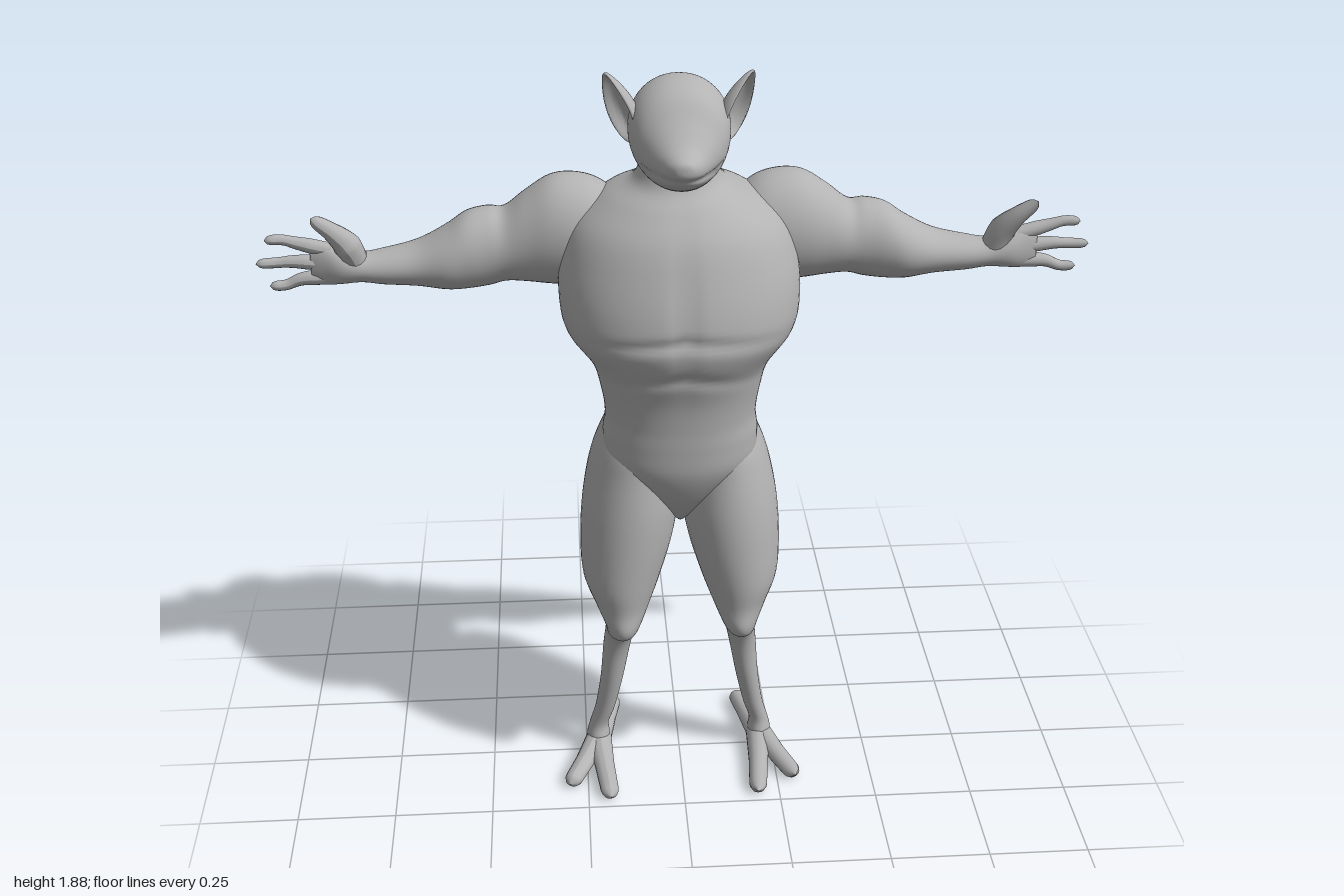
import * as THREE from 'three';

const skin = new THREE.MeshStandardMaterial({ color: 0xb3b3b3 });
skin.name = 'grey skin';

const bump = (v, centre, width) => Math.exp(-(((v - centre) / width) ** 2));

// Smooth interpolation between four neighbouring values
function spline(p0, p1, p2, p3, t) {
  const a = (p2 - p0) / 2, b = (p3 - p1) / 2;
  return (2 * p1 - 2 * p2 + a + b) * t ** 3 + (3 * p2 - 3 * p1 - 2 * a - b) * t * t + a * t + p1;
}

// Closed skin through rows of [position, aMin, aMax, bMin, bMax]
function loft(rows, place, power = 2, sides = 40, steps = 5) {
  const at = (i) => rows[Math.min(Math.max(i, 0), rows.length - 1)];
  const rings = [];
  for (let i = 0; i < rows.length - 1; i++) {
    for (let k = 0; k < steps; k++) {
      rings.push(rows[0].map((_, c) => spline(at(i - 1)[c], at(i)[c], at(i + 1)[c], at(i + 2)[c], k / steps)));
    }
  }
  rings.push(at(rows.length));
  const pos = [], index = [];
  const round = (v) => Math.sign(v) * Math.abs(v) ** (2 / power);
  for (const [t, a0, a1, b0, b1] of rings) {
    for (let j = 0; j < sides; j++) {
      const w = (j / sides) * Math.PI * 2;
      pos.push(...place((a0 + a1) / 2 + round(Math.cos(w)) * (a1 - a0) / 2,
        (b0 + b1) / 2 + round(Math.sin(w)) * (b1 - b0) / 2, t));
    }
  }
  for (let i = 0; i < rings.length - 1; i++) {
    for (let j = 0; j < sides; j++) {
      const a = i * sides + j, b = i * sides + (j + 1) % sides;
      index.push(a, b, a + sides, b, b + sides, a + sides);
    }
  }
  // End caps
  for (const [ring, flip] of [[0, true], [rings.length - 1, false]]) {
    const [t, a0, a1, b0, b1] = rings[ring], c = pos.length / 3, s = ring * sides;
    pos.push(...place((a0 + a1) / 2, (b0 + b1) / 2, t));
    for (let j = 0; j < sides; j++) {
      const a = s + j, b = s + (j + 1) % sides;
      index.push(...(flip ? [b, a, c] : [a, b, c]));
    }
  }
  const geo = new THREE.BufferGeometry();
  geo.setAttribute('position', new THREE.Float32BufferAttribute(pos, 3));
  geo.setIndex(index);
  return faceOut(geo);
}

// Turn the faces outward by checking the enclosed volume
function faceOut(geo) {
  const p = geo.attributes.position, ix = geo.index.array;
  const v = [0, 1, 2].map(() => new THREE.Vector3());
  let volume = 0;
  for (let i = 0; i < ix.length; i += 3) {
    v.forEach((q, k) => q.fromBufferAttribute(p, ix[i + k]));
    volume += v[0].dot(v[1].clone().cross(v[2]));
  }
  if (volume < 0) for (let i = 0; i < ix.length; i += 3) [ix[i], ix[i + 1]] = [ix[i + 1], ix[i]];
  geo.computeVertexNormals();
  return geo;
}

// Round-ended tapering digit through points of [x, y, z, radius]
function digit(points, flat = 1) {
  const curve = new THREE.CatmullRomCurve3(points.map((p) => new THREE.Vector3(p[0], p[1], p[2])));
  const seg = 24, sides = 14;
  const geo = new THREE.TubeGeometry(curve, seg, 1, sides);
  const p = geo.attributes.position, v = new THREE.Vector3();
  for (let i = 0; i <= seg; i++) {
    const u = i / seg, f = u * (points.length - 1), n = Math.min(Math.floor(f), points.length - 2);
    const end = Math.sqrt(Math.max(0, 1 - Math.max(0, (u - 0.86) / 0.14) ** 2));
    const r = THREE.MathUtils.lerp(points[n][3], points[n + 1][3], f - n) * end;
    const c = curve.getPointAt(u);
    for (let j = 0; j <= sides; j++) {
      const k = i * (sides + 1) + j;
      v.fromBufferAttribute(p, k).sub(c).multiplyScalar(r);
      v.y *= flat;
      v.add(c);
      p.setXYZ(k, v.x, v.y, v.z);
    }
  }
  return geo;
}

// Leaf-shaped ear with a hollow outer face
function earGeometry() {
  const geo = new THREE.SphereGeometry(1, 32, 24);
  const p = geo.attributes.position;
  for (let i = 0; i < p.count; i++) {
    const y = p.getY(i), x = p.getX(i), z = p.getZ(i);
    const taper = 1 - 0.3 * y - 0.15 * y * y;
    const rim = z > 0 ? 0.35 * Math.sin(Math.PI * Math.min(1, z * 1.6)) - 0.7 * z : z;
    p.setXYZ(i, x * 0.046 * taper, y * 0.088, rim * 0.036 * taper);
  }
  geo.computeVertexNormals();
  geo.rotateY(0.95);
  geo.rotateZ(-0.36);
  geo.translate(0.137, 1.803, 0.005);
  return geo;
}

function mirrored(geo) {
  const copy = geo.clone().scale(-1, 1, 1);
  const ix = copy.index.array;
  for (let i = 0; i < ix.length; i += 3) [ix[i], ix[i + 1]] = [ix[i + 1], ix[i]];
  copy.computeVertexNormals();
  return copy;
}

export function createModel() {
  const model = new THREE.Group();
  model.name = 'creature';
  const add = (name, geo) => {
    const mesh = new THREE.Mesh(geo, skin);
    mesh.name = name;
    model.add(mesh);
  };
  const pair = (name, geo) => {
    add(name + 'Left', geo);
    add(name + 'Right', mirrored(geo));
  };

  // Torso: [y, half width, back, front], with chest, rib and spine grooves
  const torso = [
    [0.75, 0.015, -0.03, 0.06], [0.80, 0.06, -0.05, 0.11], [0.86, 0.12, -0.08, 0.15], [0.93, 0.18, -0.1, 0.178],
    [1.0, 0.19, -0.11, 0.186], [1.06, 0.184, -0.1, 0.19], [1.13, 0.193, -0.1, 0.2], [1.2, 0.215, -0.145, 0.222],
    [1.28, 0.272, -0.19, 0.248], [1.36, 0.287, -0.215, 0.242], [1.45, 0.28, -0.237, 0.217], [1.53, 0.25, -0.24, 0.185],
    [1.59, 0.18, -0.195, 0.14], [1.63, 0.11, -0.13, 0.1], [1.68, 0.088, -0.1, 0.08], [1.73, 0.08, -0.09, 0.07],
  ].map(([y, w, b, f]) => [y, -w, w, b, f]);
  add('torso', loft(torso, (x, z, y) => {
    if (z > 0.05) {
      z -= 0.01 * bump(x, 0, 0.02) * bump(y, 1.38, 0.15);
      z -= 0.009 * bump(y, 1.315 - Math.abs(x) * 0.1, 0.014) * bump(x, 0, 0.2);
      z -= 0.007 * bump(y, 1.215 - Math.abs(x) * 0.2, 0.016) * bump(x, 0, 0.16);
    } else if (z < -0.05) z += 0.008 * bump(x, 0, 0.025) * bump(y, 1.25, 0.2);
    return [x, y, z];
  }, 2.15, 72, 7));

  // Head: [z, half width, bottom, top], with a mouth crease
  const head = [
    [-0.113, 0.012, 1.765, 1.79], [-0.105, 0.05, 1.715, 1.825], [-0.08, 0.085, 1.675, 1.852], [-0.03, 0.113, 1.645, 1.872],
    [0.02, 0.118, 1.633, 1.87], [0.07, 0.107, 1.63, 1.845], [0.11, 0.084, 1.637, 1.8], [0.15, 0.058, 1.655, 1.76],
    [0.18, 0.04, 1.678, 1.743], [0.198, 0.022, 1.695, 1.733], [0.203, 0.006, 1.708, 1.722],
  ].map(([z, w, b, t]) => [z, -w, w, b, t]);
  add('head', loft(head, (x, y, z) => {
    const crease = z > 0.09 ? 0.06 * bump(y, 1.685, 0.008) : 0;
    return [x * (1 - crease), y, z - crease * 0.12];
  }, 2.1, 48, 6));
  pair('ear', earGeometry());

  // Arm with shoulder, forearm and palm: [x, yMin, yMax, zMin, zMax]
  pair('arm', loft([
    [0.12, 1.42, 1.55, -0.13, -0.01], [0.18, 1.37, 1.603, -0.17, 0.03], [0.24, 1.35, 1.623, -0.18, 0.04],
    [0.30, 1.352, 1.618, -0.175, 0.035], [0.36, 1.358, 1.58, -0.165, 0.02], [0.41, 1.36, 1.542, -0.16, 0.01],
    [0.45, 1.35, 1.543, -0.16, 0.01], [0.5, 1.345, 1.533, -0.155, 0.015], [0.55, 1.345, 1.5, -0.15, 0.015],
    [0.62, 1.355, 1.463, -0.14, 0], [0.7, 1.362, 1.446, -0.118, -0.01], [0.75, 1.37, 1.442, -0.1, -0.015],
    [0.8, 1.367, 1.458, -0.088, -0.018], [0.84, 1.364, 1.468, -0.078, -0.032], [0.87, 1.375, 1.458, -0.068, -0.044],
  ], (y, z, x) => [x, y, z]));

  // Three fingers and a thumb
  [[1.45, 1.478, 0.975], [1.416, 1.42, 1.0], [1.383, 1.363, 0.972]].forEach(([y0, y1, tip], i) => {
    const mid = (0.82 + tip) / 2;
    pair('finger' + (i + 1), digit([[0.82, y0, -0.055, 0.018], [mid, (y0 + y1) / 2 + 0.004, -0.06, 0.018],
      [(mid + tip) / 2, y1, -0.06, 0.013], [tip, y1, -0.055, 0.012]]));
  });
  pair('thumb', digit([[0.76, 1.42, -0.05, 0.028], [0.78, 1.47, -0.035, 0.033],
    [0.81, 1.508, -0.022, 0.022], [0.856, 1.547, -0.012, 0.014]]));

  // Leg from buttock to ankle: [y, xMin, xMax, zMin, zMax]
  pair('leg', loft([
    [1.07, 0.07, 0.12, -0.06, 0.04], [1.03, 0.025, 0.17, -0.115, 0.1], [0.97, 0.005, 0.202, -0.15, 0.14],
    [0.9, 0.002, 0.226, -0.158, 0.152], [0.8, 0.003, 0.245, -0.137, 0.165], [0.7, 0.02, 0.252, -0.12, 0.17],
    [0.6, 0.05, 0.248, -0.1, 0.17], [0.53, 0.076, 0.222, -0.065, 0.164], [0.48, 0.098, 0.2, -0.035, 0.168],
    [0.45, 0.11, 0.193, -0.02, 0.15], [0.42, 0.118, 0.194, -0.012, 0.095], [0.36, 0.13, 0.2, -0.017, 0.066],
    [0.25, 0.15, 0.209, -0.024, 0.05], [0.15, 0.172, 0.224, -0.03, 0.032], [0.09, 0.19, 0.24, -0.037, 0.022],
    [0.05, 0.188, 0.248, -0.05, 0.03], [0.01, 0.2, 0.24, -0.035, 0.02],
  ], (x, z, y) => [x, y, z]));

  // Two front toes and a rear toe
  const toe = (name, x, z) => pair(name, digit([[0.217, 0.035, -0.01, 0.034],
    [(0.217 + x) / 2, 0.03, z / 2, 0.026], [x, 0.022, z, 0.023]], 0.85));
  toe('outerToe', 0.298, 0.175);
  toe('innerToe', 0.192, 0.235);
  toe('rearToe', 0.172, -0.205);

  return model;
}
